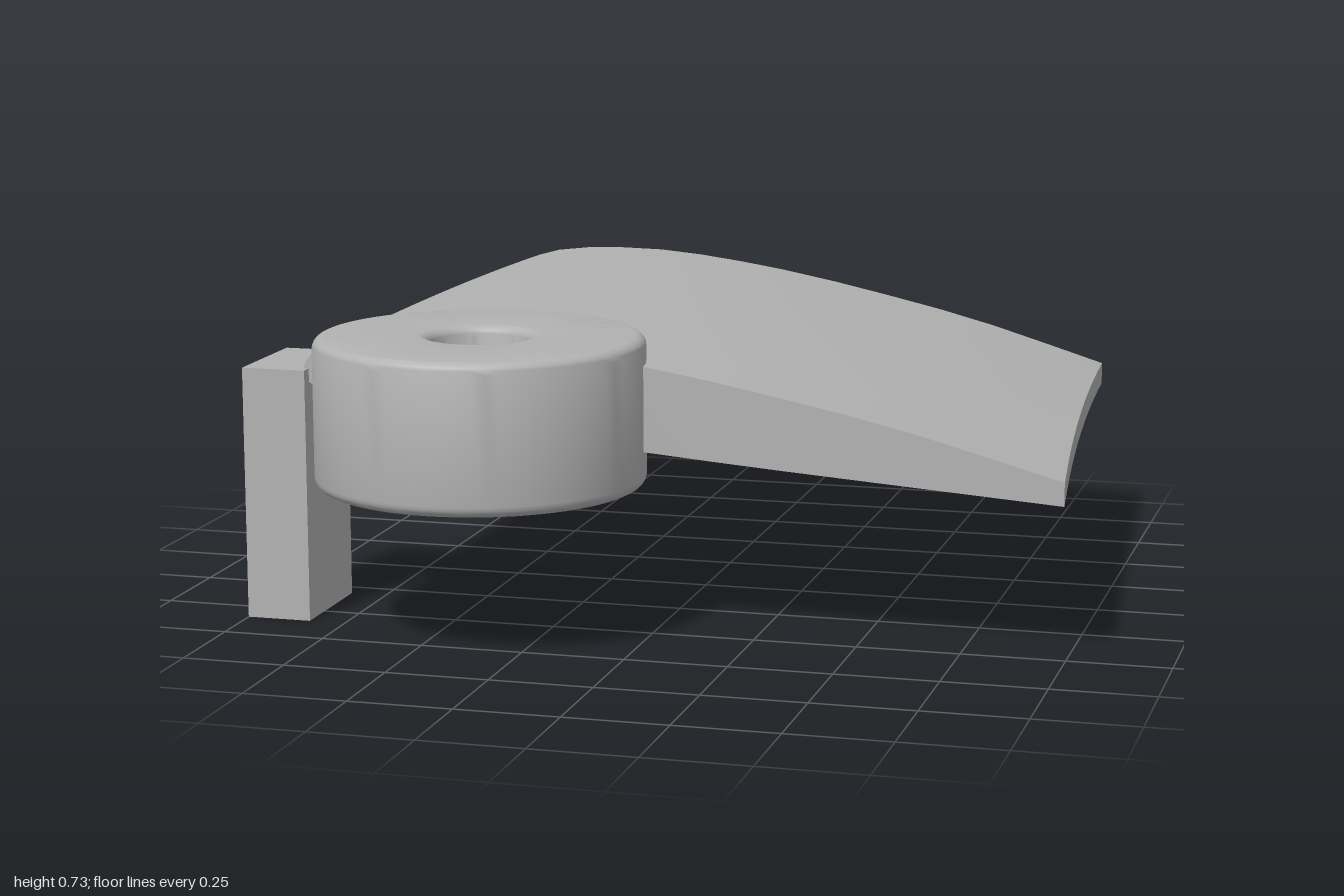
import * as THREE from 'three';
import { toCreasedNormals } from 'three/addons/utils/BufferGeometryUtils.js';

const grey = new THREE.MeshStandardMaterial({ color: 0xb2b2b2 });
grey.name = 'plain grey';

function addMesh(group, name, geometry) {
  const mesh = new THREE.Mesh(geometry, grey);
  mesh.name = name;
  group.add(mesh);
  return mesh;
}

// Bored ring with all four rims rounded
function hubGeometry(outer, bore, y0, y1, r) {
  const pts = [];
  const corner = (cx, cy, start) => {
    for (let i = 0; i <= 5; i++) {
      const a = start + (i / 5) * Math.PI / 2;
      pts.push(new THREE.Vector2(cx + r * Math.cos(a), cy + r * Math.sin(a)));
    }
  };
  corner(bore + r, y0 + r, Math.PI);
  corner(outer - r, y0 + r, -Math.PI / 2);
  corner(outer - r, y1 - r, 0);
  corner(bore + r, y1 - r, Math.PI / 2);
  pts.push(pts[0].clone());
  return toCreasedNormals(new THREE.LatheGeometry(pts, 72), 0.6);
}

// Blade section: fraction of chord, upper height, lower height
const section = [
  [0, 0.617, 0.617], [0.002, 0.632, 0.604], [0.007, 0.648, 0.592], [0.016, 0.664, 0.58],
  [0.035, 0.681, 0.569], [0.07, 0.697, 0.558], [0.12, 0.707, 0.546], [0.18, 0.711, 0.531],
  [0.25, 0.709, 0.513], [0.32, 0.699, 0.495], [0.39, 0.684, 0.477], [0.46, 0.666, 0.461],
  [0.55, 0.638, 0.447], [0.64, 0.606, 0.434], [0.73, 0.572, 0.422], [0.82, 0.533, 0.41],
  [0.91, 0.488, 0.398], [1, 0.442, 0.386],
];

function bladeGeometry() {
  const n = section.length, ring = 2 * n - 1, steps = 12;
  const front = 0.57, hubX = -0.395;
  const outline = [
    ...section.map(([t, top]) => [t, top]),
    ...section.slice(1).reverse().map(([t, , low]) => [t, low]),
  ];
  const pos = [], index = [];
  for (let i = 0; i <= steps; i++) {
    const z = i === steps ? front : -1 + (i / (steps - 1)) * 1.33;
    const s = (z + 1) / 1.57;
    const lead = -0.81 - 0.045 * s;
    const trail = 0.855 + 0.1 * s + 0.045 * s * s;
    const lift = 0.008 - 0.018 * (z + 0.2) ** 2;
    for (const [t, y] of outline) {
      const x = lead + (trail - lead) * t;
      // the root steps back inside the hub so the bore stays clear
      const k = THREE.MathUtils.clamp((Math.abs(x - hubX) - 0.22) / 0.14, 0, 1);
      pos.push(x, y + lift, i === steps ? 0.38 + (front - 0.38) * k : z);
    }
  }
  for (let i = 0; i < steps; i++) {
    for (let j = 0; j < ring; j++) {
      const a = i * ring + j, b = i * ring + (j + 1) % ring;
      index.push(a, a + ring, b, b, a + ring, b + ring);
    }
  }
  // end caps
  const low = (k) => (ring - k) % ring;
  for (let k = 0; k < n - 1; k++) {
    const o = steps * ring;
    index.push(k, k + 1, low(k + 1), o + k, o + low(k + 1), o + k + 1);
    if (k > 0) index.push(k, low(k + 1), low(k), o + k, o + low(k), o + low(k + 1));
  }
  const g = new THREE.BufferGeometry();
  g.setAttribute('position', new THREE.Float32BufferAttribute(pos, 3));
  g.setIndex(index);
  return toCreasedNormals(g, 0.9);
}

export function createModel() {
  const model = new THREE.Group();
  model.name = 'bladeWithHub';

  addMesh(model, 'hub', hubGeometry(0.395, 0.118, 0.368, 0.728, 0.027))
    .position.set(-0.395, 0, 0.6);
  addMesh(model, 'blade', bladeGeometry());
  addMesh(model, 'post', new THREE.BoxGeometry(0.16, 0.62, 0.29))
    .position.set(-0.92, 0.31, 0.455);

  return model;
}
